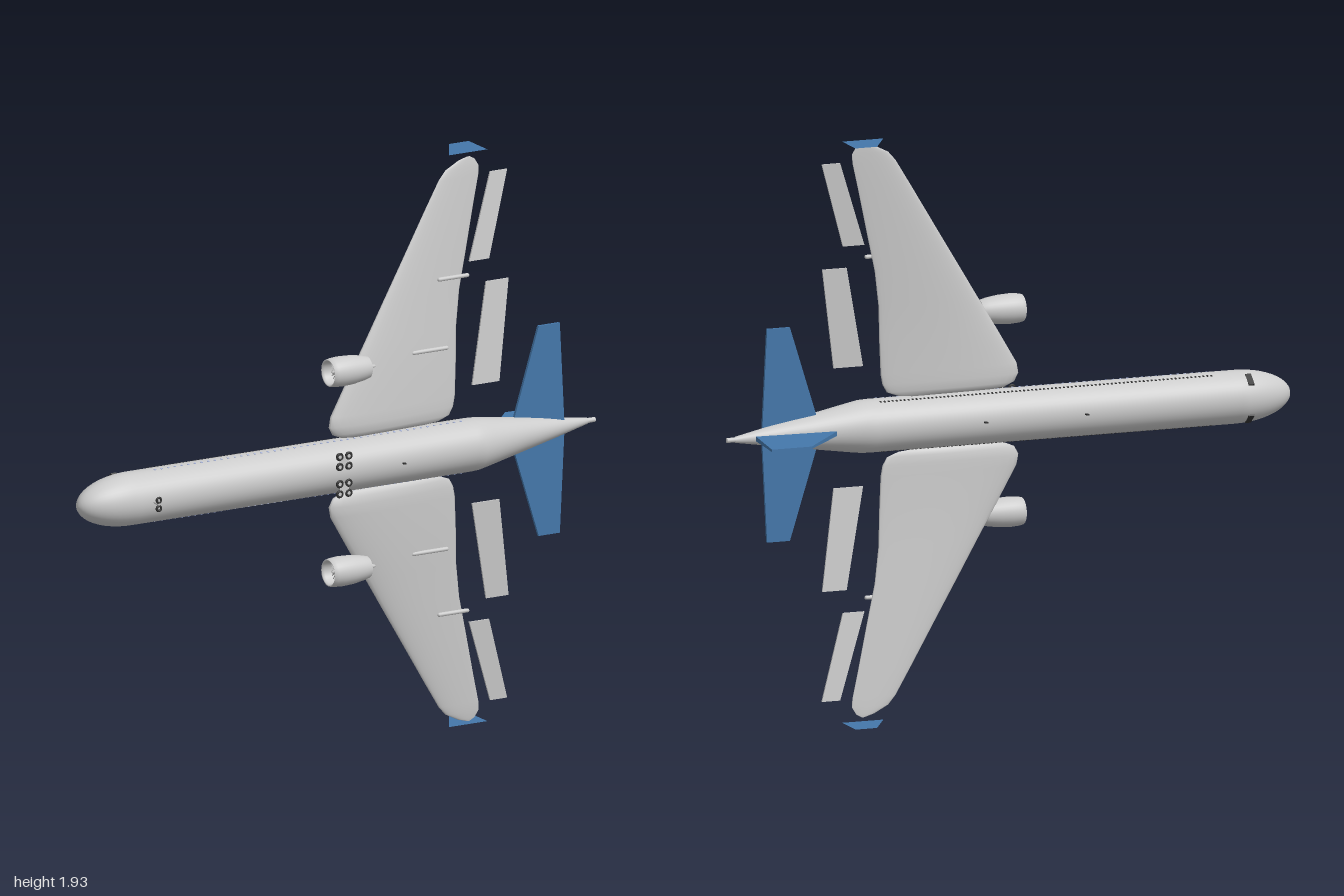
import * as THREE from 'three';
import { ConvexGeometry } from 'three/addons/geometries/ConvexGeometry.js';
import { mergeGeometries } from 'three/addons/utils/BufferGeometryUtils.js';

const V = (x, y, z) => new THREE.Vector3(x, y, z);
const mat = (color, side = THREE.FrontSide) => new THREE.MeshStandardMaterial({ color, side });
const grey = mat(0xcccccc);
const greyBoth = mat(0xcccccc, THREE.DoubleSide);
const blue = mat(0x4477aa);
const blueBoth = mat(0x4477aa, THREE.DoubleSide);
const dark = mat(0x333333);
const paleBlue = mat(0xa9b6dd);

// Joins equal-length closed rings of points into one smooth skin
function loft(rings) {
  const n = rings[0].length, index = [];
  for (let i = 0; i < rings.length - 1; i++) {
    for (let j = 0; j < n; j++) {
      const a = i * n + j, b = i * n + (j + 1) % n;
      index.push(a, b, a + n, b, b + n, a + n);
    }
  }
  const geo = new THREE.BufferGeometry().setFromPoints(rings.flat());
  geo.setIndex(index);
  geo.computeVertexNormals();
  return geo;
}

// Ring of n points from a function of the angle
const ring = (n, f) => Array.from({ length: n }, (_, i) => f((i / n) * Math.PI * 2));

// Solid with flat faces between a lower outline and the same outline shifted
const slab = (points, shift) =>
  new ConvexGeometry([...points, ...points.map((p) => p.clone().add(shift))]);

// Turned part whose axis runs along x; profile is [radius, x]
function turned(profile, sides = 32) {
  return new THREE.LatheGeometry(profile.map(([r, x]) => new THREE.Vector2(r, x)), sides).rotateZ(-Math.PI / 2);
}

export function createModel() {
  const model = new THREE.Group();
  model.position.y = 0.967; // fuselage axis height
  const add = (name, geo, material = grey, parent = model) => {
    const mesh = new THREE.Mesh(geo, material);
    mesh.name = name;
    parent.add(mesh);
    return mesh;
  };

  // Fuselage: rounded nose, straight barrel, upswept tail cone. Nose at -x, belly at +z
  const R = 0.088;
  const stations = [];
  for (let i = 0; i <= 12; i++) {
    const a = (i / 12) * Math.PI / 2;
    stations.push([-0.8 - 0.2 * Math.cos(a), R * Math.sin(a), 0.068 + 0.01 * Math.cos(a)]);
  }
  stations.push([-0.4, R, 0.068], [0, R, 0.068], [0.48, R, 0.068], [0.51, 0.087, 0.067], [0.55, 0.081, 0.062],
    [0.7, 0.056, 0.045], [0.85, 0.031, 0.028], [0.97, 0.01, 0.013], [0.97, 0, 0.013]);
  add('fuselage', loft(stations.map(([x, r, z]) =>
    ring(40, (t) => V(x, r * Math.cos(t), z + r * Math.sin(t))))));
  add('tailPipe', new THREE.CylinderGeometry(0.008, 0.009, 0.045, 16).rotateZ(-Math.PI / 2).translate(0.9775, 0, 0.012));

  // Fin
  add('fin', new ConvexGeometry([-1, 1].flatMap((k) => [
    V(0.61, k * 0.008, 0), V(0.9, k * 0.008, 0.012), V(0.925, k * 0.004, -0.2), V(0.785, k * 0.004, -0.2),
  ])), blue);

  // Wing sections: [span, leading x, trailing x, leading z, trailing z, half thickness]
  const wingSections = [
    [0.088, 0.05, 0.33, 0.074, 0.06, 0.002], [0.093, 0, 0.38, 0.076, 0.059, 0.014],
    [0.108, -0.035, 0.42, 0.079, 0.058, 0.021], [0.135, -0.05, 0.436, 0.08, 0.057, 0.024],
    [0.17, -0.043, 0.443, 0.079, 0.056, 0.023], [0.29, 0.03, 0.45, 0.07, 0.051, 0.02],
    [0.4, 0.1, 0.455, 0.059, 0.044, 0.017], [0.52, 0.175, 0.472, 0.047, 0.035, 0.014],
    [0.65, 0.257, 0.503, 0.034, 0.026, 0.011], [0.8, 0.351, 0.538, 0.019, 0.015, 0.008],
    [0.89, 0.408, 0.56, 0.011, 0.009, 0.006], [0.92, 0.435, 0.563, 0.008, 0.007, 0.005],
    [0.945, 0.485, 0.548, 0.005, 0.005, 0.003], [0.955, 0.52, 0.53, 0.004, 0.004, 0.0005],
  ];

  // Flap outlines: [inner span, x from, x to, z, outer span, x from, x to, z]
  const flaps = [
    [0.2, 0.5, 0.603, 0.072, 0.536, 0.567, 0.652, 0.048],
    [0.61, 0.508, 0.583, 0.04, 0.894, 0.604, 0.668, 0.012],
  ];

  for (const side of [1, -1]) {
    const half = new THREE.Group();
    half.name = side > 0 ? 'upperHalf' : 'lowerHalf';
    model.add(half);

    add('wing', loft(wingSections.map(([s, x0, x1, z0, z1, h]) => ring(32, (t) => {
      const c = Math.cos(t), u = (1 + c) / 2;
      return V(x0 + (x1 - x0) * u, side * s,
        z0 + (z1 - z0) * u - side * h * Math.sin(t) * (1 - 0.4 * c));
    }))), grey, half);

    // Thin upright wing tip
    const tip = new THREE.Shape([[0.455, 0], [0.6, 0], [0.6, 0.12], [0.525, 0.12]].map(([x, y]) => new THREE.Vector2(x, y)));
    add('wingTip', new THREE.ShapeGeometry(tip).rotateX(-Math.PI / 2).translate(0, side * 0.967, 0), blueBoth, half);

    for (const [s0, a0, b0, z0, s1, a1, b1, z1] of flaps) {
      add('flap', slab([V(a0, side * s0, z0), V(b0, side * s0, z0), V(b1, side * s1, z1), V(a1, side * s1, z1)],
        V(0, 0, -0.006)), grey, half);
    }

    // Flap track fairings under the wing
    for (const [x, s, z, len] of [[0.34, 0.34, 0.07, 0.14], [0.443, 0.567, 0.046, 0.12]]) {
      add('flapFairing', new THREE.CapsuleGeometry(0.007, len - 0.014, 6, 12).rotateZ(Math.PI / 2)
        .translate(x, side * s, z), grey, half);
    }

    // Tailplane
    add('tailplane', slab([V(0.66, 0, 0.032), V(0.868, 0, 0.032), V(0.85, side * 0.355, 0.032), V(0.77, side * 0.355, 0.032)],
      V(0, 0, 0.01)), blue, half);

    // Engine: open nacelle, fan, spinner and exhaust cone
    const engine = new THREE.Group();
    engine.name = 'engine';
    engine.position.set(0, side * 0.338, 0.135);
    half.add(engine);
    add('nacelle', turned([[0.036, -0.05], [0.038, -0.075], [0.041, -0.083], [0.045, -0.084], [0.048, -0.07], [0.05, -0.04],
      [0.048, 0], [0.042, 0.04], [0.036, 0.064], [0.034, 0.064], [0.036, 0.03], [0.036, -0.05]]), greyBoth, engine);
    add('engineCore', turned([[0, -0.072], [0.008, -0.062], [0.012, -0.05], [0.018, 0], [0.016, 0.05], [0.009, 0.075], [0.004, 0.093], [0, 0.094]], 20),
      greyBoth, engine);
    const blades = [];
    for (let i = 0; i < 18; i++) {
      blades.push(new THREE.BoxGeometry(0.002, 0.028, 0.008).rotateY(0.7).translate(-0.05, 0.024, 0)
        .rotateX((i / 18) * Math.PI * 2));
    }
    add('fan', mergeGeometries(blades), grey, engine);

    // Main gear: four wheels on a bogie with a strut
    for (const x of [-0.067, -0.033]) {
      for (const s of [0.029, 0.063]) {
        add('mainWheel', new THREE.TorusGeometry(0.0095, 0.0045, 8, 20).translate(x, side * s, 0.18), dark, half);
        add('mainHub', new THREE.CylinderGeometry(0.006, 0.006, 0.006, 16).rotateX(Math.PI / 2).translate(x, side * s, 0.18), grey, half);
      }
    }
    add('mainAxle', new THREE.BoxGeometry(0.034, 0.034, 0.003).translate(-0.05, side * 0.046, 0.18), grey, half);
    add('mainStrut', new THREE.CylinderGeometry(0.004, 0.004, 0.06, 10).rotateX(Math.PI / 2)
      .translate(-0.05, side * 0.046, 0.15), grey, half);

    // Nose wheels
    add('noseWheel', new THREE.TorusGeometry(0.008, 0.004, 8, 20).translate(-0.755, side * 0.014, 0.183), dark, half);

    // Cabin windows: two rows along the barrel
    for (const [name, z, x0, count, material] of [['upperWindows', 0.037, -0.71, 84, dark], ['lowerWindows', 0.082, -0.71, 47, paleBlue]]) {
      const a = Math.asin((z - 0.068) / R), step = 1.16 / (count - 1), panes = [];
      for (let i = 0; i < count; i++) {
        panes.push(new THREE.BoxGeometry(0.006, 0.003, 0.007).translate(0, R, 0).rotateX(a)
          .scale(1, side, 1).translate(x0 + i * step, 0, 0.068));
      }
      const geo = mergeGeometries(panes);
      if (side < 0) { // restore outward faces after mirroring
        const ix = geo.index.array;
        for (let i = 0; i < ix.length; i += 3) [ix[i], ix[i + 1]] = [ix[i + 1], ix[i]];
        geo.computeVertexNormals();
      }
      add(name, geo, material, half);
    }

    // Cockpit window
    add('cockpitWindow', new THREE.BoxGeometry(0.02, 0.006, 0.045).translate(-0.835, 0.085, 0)
      .rotateX(-0.7).rotateX(side > 0 ? 0 : 1.4 + Math.PI).translate(0, 0, 0.068), dark, half);
  }

  // Nose gear strut and axle
  add('noseStrut', new THREE.CylinderGeometry(0.004, 0.004, 0.05, 10).rotateX(Math.PI / 2).translate(-0.755, 0, 0.16));
  add('noseAxle', new THREE.CylinderGeometry(0.003, 0.003, 0.03, 8).translate(-0.755, 0, 0.183));

  // Small aerials on the back and belly
  for (const [x, z] of [[-0.25, -0.026], [0.105, -0.026], [0.19, 0.158]]) {
    add('aerial', new THREE.BoxGeometry(0.01, 0.004, 0.016).translate(x, 0, z), dark);
  }

  const root = new THREE.Group();
  root.name = 'airliner';
  root.add(model);
  return root;
}
